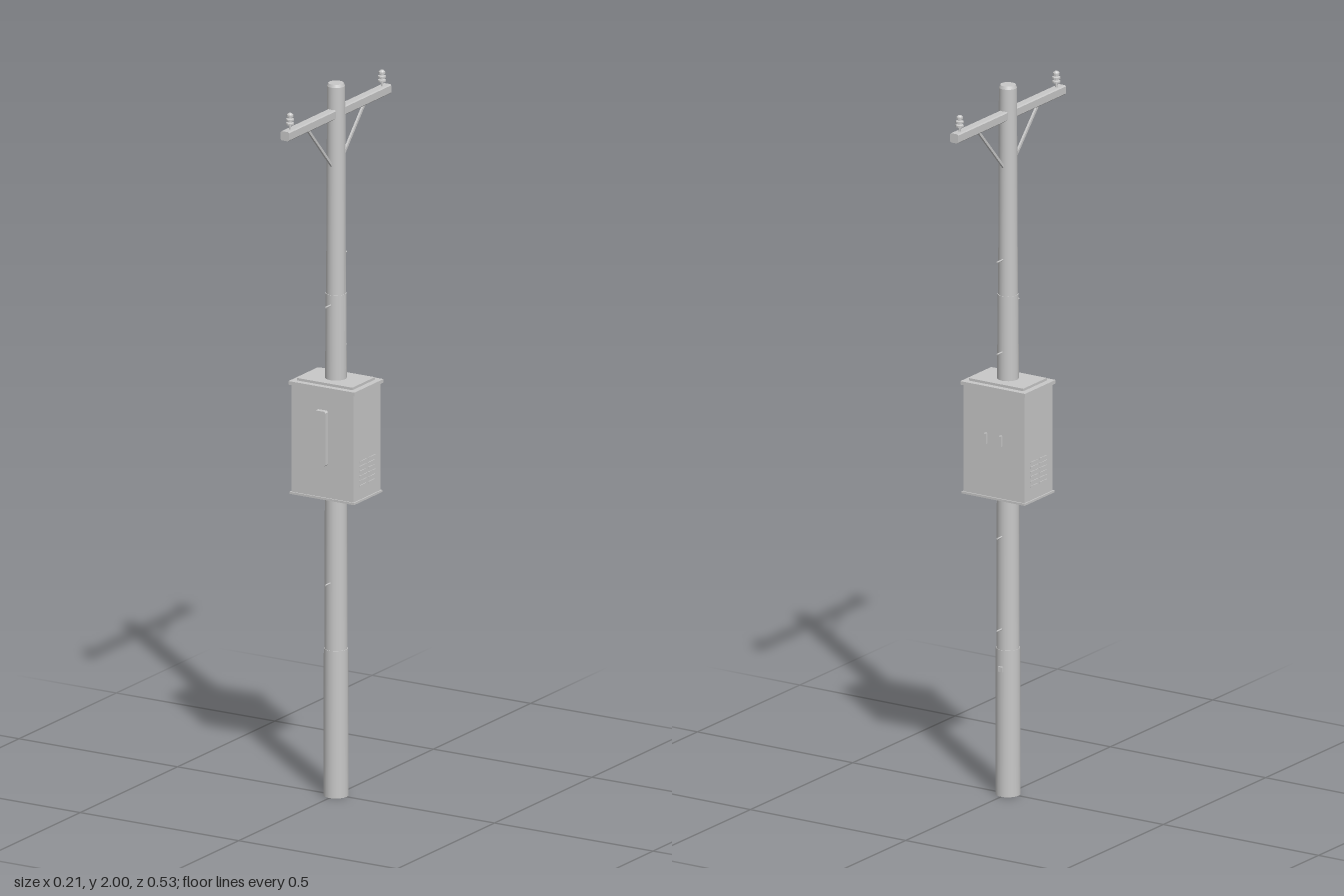
import * as THREE from 'three';

export function createModel() {
  const root = new THREE.Group();
  root.name = 'utilityPole';
  const grey = new THREE.MeshStandardMaterial({ color: 0xc8c8c8 });
  grey.name = 'light grey';

  const add = (name, geometry, x = 0, y = 0, z = 0, parent = root) => {
    const mesh = new THREE.Mesh(geometry, grey);
    mesh.name = name;
    mesh.position.set(x, y, z);
    parent.add(mesh);
    return mesh;
  };
  const box = (name, w, h, d, x, y, z) => add(name, new THREE.BoxGeometry(w, h, d), x, y, z);
  const rod = (name, rTop, rBottom, y0, y1, x = 0, z = 0, sides = 20, parent = root) =>
    add(name, new THREE.CylinderGeometry(rTop, rBottom, y1 - y0, sides), x, (y0 + y1) / 2, z, parent);

  // Stepped, slightly tapering pole with a bevelled tip
  rod('poleBase', 0.033, 0.034, 0, 0.413);
  rod('poleMiddle', 0.0285, 0.0315, 0.413, 1.41);
  rod('poleUpper', 0.0243, 0.0268, 1.41, 1.992);
  rod('poleTip', 0.021, 0.0243, 1.992, 2);

  // Cable running up the left side
  rod('cable', 0.002, 0.002, 1.2, 1.95, 0.0275, 0, 8);

  // Crossarm with bevelled edges, built along z
  const armShape = new THREE.Shape();
  [[-0.013, -0.01], [-0.01, -0.013], [0.01, -0.013], [0.013, -0.01],
    [0.013, 0.01], [0.01, 0.013], [-0.01, 0.013], [-0.013, 0.01]]
    .forEach(([x, y], i) => (i ? armShape.lineTo(x, y) : armShape.moveTo(x, y)));
  const arm = new THREE.ExtrudeGeometry(armShape, { depth: 0.526, bevelEnabled: false });
  arm.translate(0, 0, -0.263);
  add('crossarm', arm, 0, 1.917, 0);

  // Braces and insulators at both ends of the arm
  const insulatorProfile = [
    [0, 0], [0.003, 0], [0.003, 0.012], [0.011, 0.013], [0.011, 0.018], [0.005, 0.02],
    [0.005, 0.023], [0.011, 0.024], [0.011, 0.029], [0.005, 0.031], [0.005, 0.034],
    [0.009, 0.035], [0.009, 0.041], [0.005, 0.045], [0, 0.046],
  ].map(([r, y]) => new THREE.Vector2(r, y));
  for (const s of [1, -1]) {
    const rise = 0.132, run = 0.124;
    const brace = box('brace', 0.006, Math.hypot(rise, run), 0.007, 0, 1.838, s * 0.083);
    brace.rotation.x = s * Math.atan2(run, rise);
    const insulator = add('insulator', new THREE.LatheGeometry(insulatorProfile, 12), 0, 1.93, s * 0.236);
    insulator.geometry = insulator.geometry.toNonIndexed();
    insulator.geometry.computeVertexNormals();
  }

  // Climbing pegs, alternating back and front
  for (let i = 0; i < 9; i++) {
    const s = i % 2 ? 1 : -1;
    const peg = rod('climbingPeg', 0.0025, 0.0025, 0, 0.032, 0, 0, 8);
    peg.rotation.x = Math.PI / 2;
    peg.position.set(0, 0.472 + i * 0.13, s * 0.037);
  }
  box('groundClamp', 0.012, 0.014, 0.012, 0, 0.36, -0.033);

  // Equipment cabinet with base flange, roof and raised roof panel
  box('cabinetBody', 0.196, 0.31, 0.138, 0, 1.005, 0);
  box('cabinetBase', 0.203, 0.006, 0.145, 0, 0.851, 0);
  box('cabinetRoof', 0.208, 0.01, 0.15, 0, 1.16, 0);
  box('roofPanel', 0.174, 0.008, 0.116, 0, 1.168, 0);

  // Front cover strip with a rounded outline
  const strip = new THREE.Shape();
  const w = 0.0175, h = 0.077, c = 0.004;
  strip.moveTo(-w + c, -h);
  strip.lineTo(w - c, -h);
  strip.lineTo(w, -h + c);
  strip.lineTo(w, h - c);
  strip.lineTo(w - c, h);
  strip.lineTo(-w + c, h);
  strip.lineTo(-w, h - c);
  strip.lineTo(-w, -h + c);
  add('frontCover', new THREE.ExtrudeGeometry(strip, { depth: 0.015, bevelEnabled: false }), 0, 1.022, 0.068);

  // Back latches
  for (const x of [-0.024, 0.024]) box('backLatch', 0.007, 0.03, 0.01, x, 1.017, -0.072);

  // Side vents
  for (const s of [1, -1])
    for (let row = 0; row < 6; row++)
      for (const z of [-0.022, 0.022])
        box('ventSlat', 0.004, 0.005, 0.036, s * 0.098, 0.892 + row * 0.0135, z);

  return root;
}
